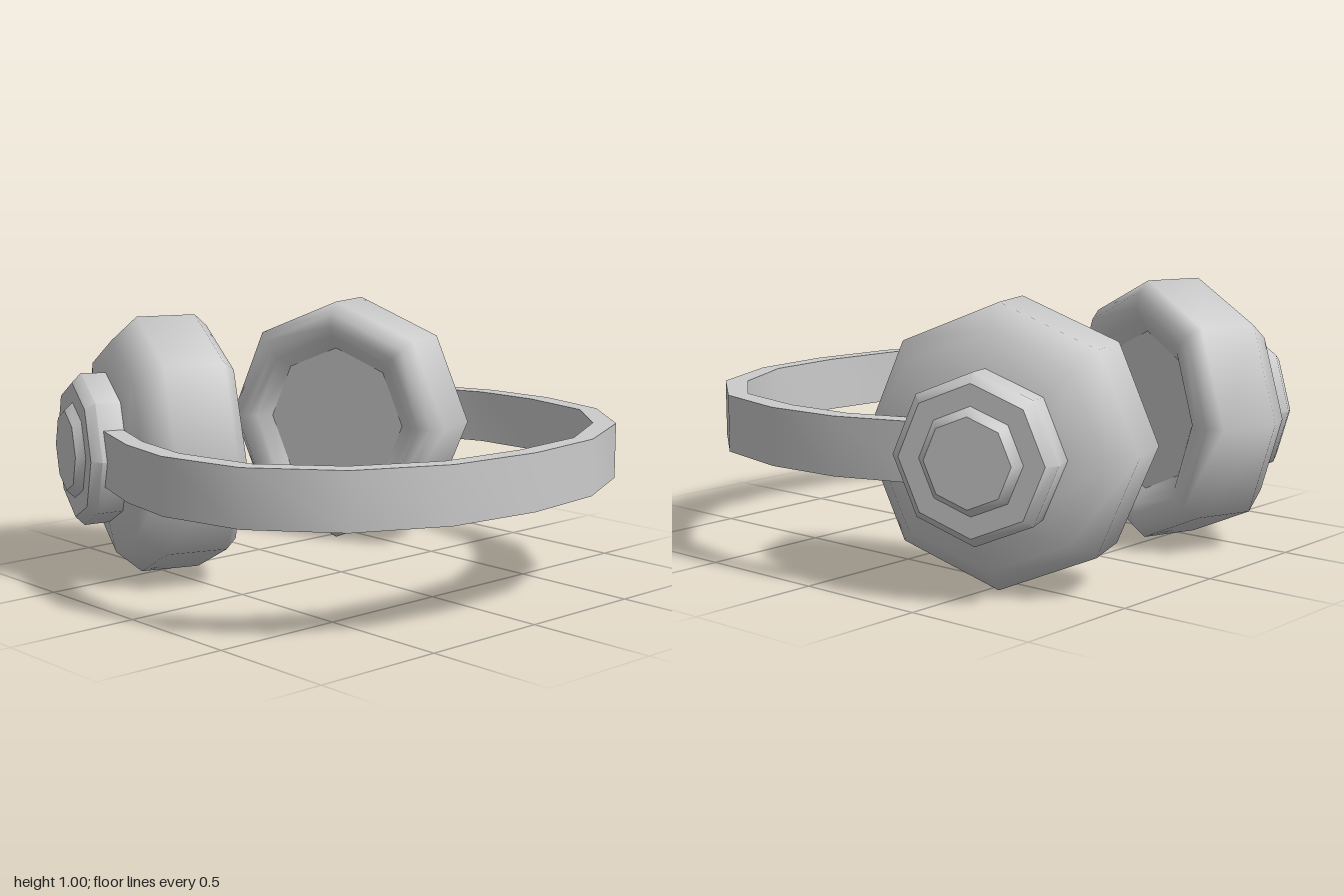
import * as THREE from 'three';
import { toCreasedNormals } from 'three/addons/utils/BufferGeometryUtils.js';

const material = new THREE.MeshStandardMaterial({ color: 0xcccccc });
const TILT = THREE.MathUtils.degToRad(20);
const SIDES = 8;
const points = (list) => list.map(([x, y]) => new THREE.Vector2(x, y));

function addMesh(parent, name, geometry) {
  const mesh = new THREE.Mesh(geometry, material);
  mesh.name = name;
  parent.add(mesh);
}

// Turned part: pairs of radius and distance along the cup axis
const turned = (profile) => new THREE.LatheGeometry(points(profile), SIDES);

// One ear cup, its axis pointing outward and turned back by TILT
function createEarCup(name, side) {
  const cup = new THREE.Group();
  cup.name = name;

  // Padded shell with a rounded rim around the ear opening
  addMesh(cup, 'cushion', turned([
    [0.3, 0.525], [0.36, 0.48], [0.40, 0.468], [0.455, 0.473], [0.5, 0.52],
    [0.5, 0.752], [0.413, 0.853], [0.26, 0.885],
  ]));

  // Flat panel inside the opening
  addMesh(cup, 'speakerPanel', turned([[0, 0.52], [0.31, 0.52]]));

  // Stepped cap on the outside
  addMesh(cup, 'outerCap', toCreasedNormals(turned([
    [0.29, 0.84], [0.295, 0.975], [0.26, 1.01],
    [0.185, 1.01], [0.155, 1.042], [0, 1.042],
  ]), 0.8));

  cup.rotation.set(0, side * TILT, -side * Math.PI / 2);
  cup.position.set(side > 0 ? -0.101 : 0.137, 0.5, -0.278);
  return cup;
}

// Headband: outline seen from above, extruded to its width
function createBand() {
  const outer = [
    [-0.82, -0.45], [-0.947, -0.09], [-0.99, 0.175], [-0.92, 0.51], [-0.69, 0.79],
    [-0.36, 0.95], [0.005, 0.99], [0.355, 0.95], [0.685, 0.79], [0.91, 0.51],
    [0.985, 0.19], [0.97, -0.105], [0.85, -0.45],
  ];
  const inner = [
    [-0.745, -0.43], [-0.868, -0.1], [-0.91, 0.17], [-0.847, 0.487], [-0.64, 0.73],
    [-0.34, 0.883], [0.005, 0.915], [0.33, 0.883], [0.63, 0.723], [0.836, 0.487],
    [0.902, 0.175], [0.894, -0.095], [0.775, -0.43],
  ];
  const shape = new THREE.Shape(points([...outer, ...inner.reverse()]));
  const geometry = new THREE.ExtrudeGeometry(shape, { depth: 0.21, bevelEnabled: false });
  geometry.rotateX(Math.PI / 2);
  geometry.translate(0, 0.61, 0);
  return toCreasedNormals(geometry, 0.6);
}

export function createModel() {
  const model = new THREE.Group();
  model.name = 'headphones';
  addMesh(model, 'headband', createBand());
  model.add(createEarCup('leftEarCup', 1), createEarCup('rightEarCup', -1));
  return model;
}
